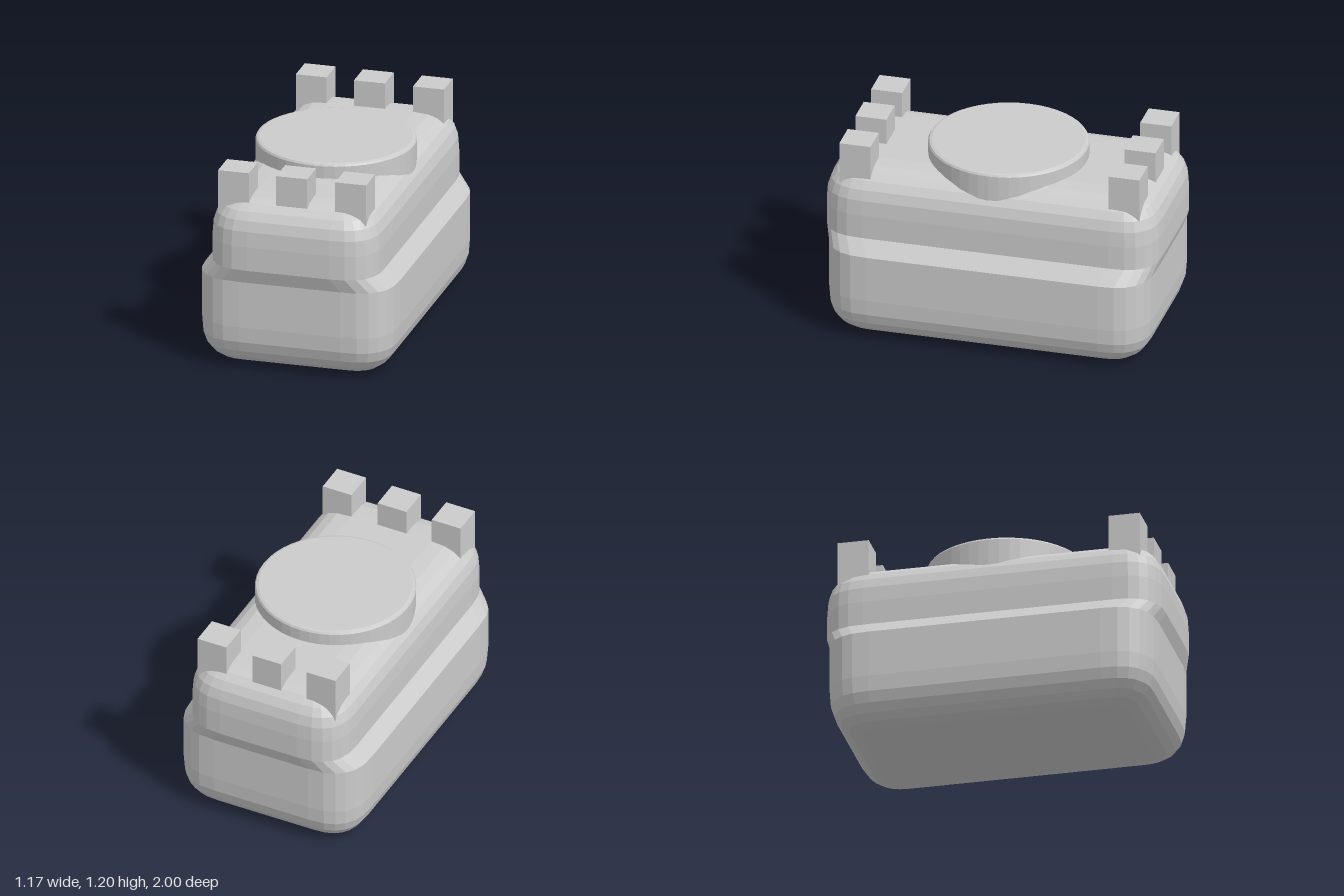
import * as THREE from 'three';

const STEPS = 6; // facets per rounded corner
const POWER = 2.6; // squareness of the rounding
const soft = (v) => Math.sign(v) * Math.pow(Math.abs(v), 2 / POWER);

// One horizontal rounded-rectangle cross-section
function ring(y, hx, hz, r) {
  const pts = [];
  for (let q = 0; q < 4; q++) {
    const sx = q === 0 || q === 3 ? 1 : -1, sz = q < 2 ? 1 : -1;
    for (let i = 0; i <= STEPS; i++) {
      const a = (q + i / STEPS) * Math.PI / 2;
      let c = Math.cos(a), s = Math.sin(a);
      if (Math.abs(c) < 1e-6) c = 0;
      if (Math.abs(s) < 1e-6) s = 0;
      pts.push([sx * (hx - r) + r * soft(c), y, sz * (hz - r) + r * soft(s)]);
    }
  }
  return pts;
}

// Skin the cross-sections from bottom to top and cap both ends
function loft(rings) {
  const n = rings[0].length, pos = rings.flat(2), idx = [];
  for (let j = 0; j < rings.length - 1; j++) {
    for (let i = 0; i < n; i++) {
      const k = (i + 1) % n;
      const a = j * n + i, b = j * n + k, d = a + n, c = b + n;
      idx.push(a, d, b, b, d, c);
    }
  }
  const last = (rings.length - 1) * n, center = rings.length * n;
  pos.push(0, rings[0][0][1], 0, 0, rings.at(-1)[0][1], 0);
  for (let i = 0; i < n; i++) {
    const k = (i + 1) % n;
    idx.push(center, i, k, center + 1, last + k, last + i);
  }
  const g = new THREE.BufferGeometry();
  g.setAttribute('position', new THREE.Float32BufferAttribute(pos, 3));
  g.setIndex(idx);
  const flat = g.toNonIndexed();
  flat.computeVertexNormals();
  return flat;
}

export function createModel() {
  const group = new THREE.Group();
  const material = new THREE.MeshStandardMaterial({ color: 0xcccccc, flatShading: true });
  const add = (name, geometry, x = 0, y = 0, z = 0) => {
    const mesh = new THREE.Mesh(geometry, material);
    mesh.name = name;
    mesh.position.set(x, y, z);
    group.add(mesh);
  };

  // Body: wide rounded base, sloped shoulder, narrower rounded upper part
  const base = { hx: 0.585, hz: 0.97, r: 0.28 };
  const upper = { hx: 0.508, hz: 1.0, r: 0.26 };
  const section = (y, p, inset) => ring(y, p.hx - inset, p.hz - inset, Math.max(p.r - inset, 0.01));
  const rings = [];
  for (let i = 0; i <= STEPS; i++) {
    const a = i / STEPS * Math.PI / 2;
    rings.push(section(0.27 * (1 - soft(Math.sin(a))), base, 0.27 * (1 - soft(Math.cos(Math.PI / 2 - a) ** 0 * Math.cos(a)))));
  }
  rings.reverse();
  rings.push(section(0.55, base, 0), section(0.635, upper, 0));
  for (let i = 0; i <= STEPS; i++) {
    const a = i / STEPS * Math.PI / 2;
    rings.push(section(0.78 + 0.26 * soft(Math.sin(a)), upper, 0.25 * (1 - soft(Math.cos(a)))));
  }
  add('body', loft(rings));

  // Round lid with a small bevelled rim
  const profile = [[0, 0.95], [0.465, 0.95], [0.467, 1.115], [0.46, 1.126], [0.445, 1.131], [0, 1.131]];
  const lid = new THREE.LatheGeometry(profile.map(([x, y]) => new THREE.Vector2(x, y)), 48);
  add('roundLid', lid, 0, 0, -0.005);

  // Two rows of three square blocks at the ends of the top
  const block = new THREE.BoxGeometry(0.186, 0.297, 0.186);
  for (const [row, z] of [['front', 0.798], ['back', -0.813]]) {
    for (const [side, x] of [['Right', -0.358], ['Middle', -0.008], ['Left', 0.347]]) {
      add(`${row}${side}Block`, block, x, 1.0485, z);
    }
  }
  return group;
}
